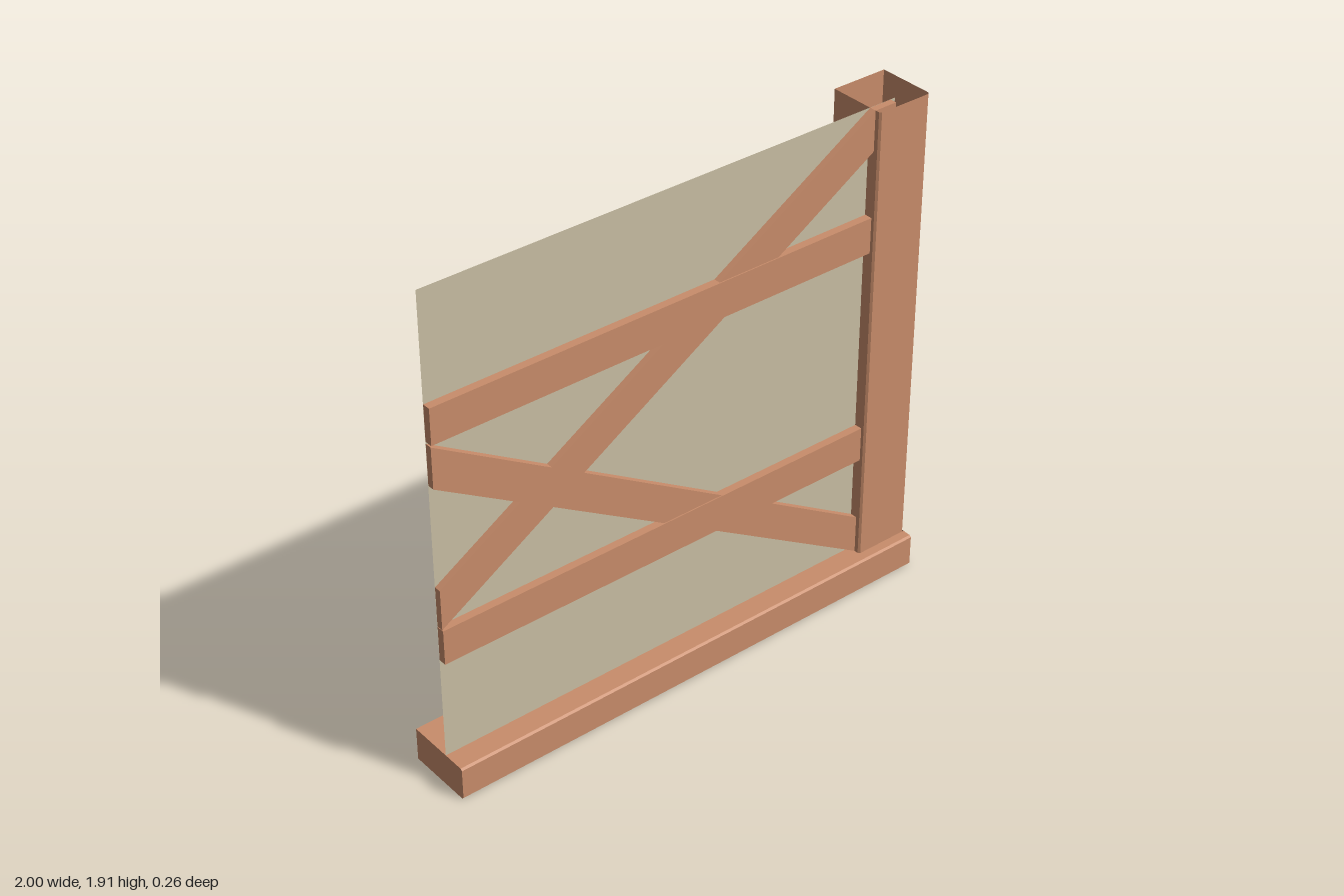
import * as THREE from 'three';

const wood = new THREE.MeshStandardMaterial({ color: 0xc98d6b, side: THREE.DoubleSide, flatShading: true });
const cloth = new THREE.MeshStandardMaterial({ color: 0xc9bfa4, side: THREE.DoubleSide, flatShading: true });

// Thin sheet folded along a profile of 2D points, running from a to b; place(p, t) gives the 3D point.
function foldedSheet(profile, a, b, place) {
  const pos = [];
  for (let i = 0; i + 1 < profile.length; i++) {
    const [p, q] = [profile[i], profile[i + 1]];
    const [p0, q0, q1, p1] = [place(p, a), place(q, a), place(q, b), place(p, b)];
    pos.push(...p0, ...q0, ...q1, ...p0, ...q1, ...p1);
  }
  const g = new THREE.BufferGeometry();
  g.setAttribute('position', new THREE.Float32BufferAttribute(pos, 3));
  g.computeVertexNormals();
  return g;
}

const toShape = (pts) => new THREE.Shape(pts.map(([x, y]) => new THREE.Vector2(x, y)));

export function createModel() {
  const root = new THREE.Group();
  const add = (parent, name, geometry, material = wood) => {
    const mesh = new THREE.Mesh(geometry, material);
    mesh.name = name;
    parent.add(mesh);
    return mesh;
  };

  const H = 1.91, baseH = 0.13, back = -0.13, baseFront = 0.13;
  const postFront = 0.09, postIn = 0.78, c = 0.007;

  // Hollow base beam, open at the back and under the post
  const base = new THREE.Group();
  base.name = 'baseBeam';
  root.add(base);
  const section = (topBack) => [
    [topBack, baseH], [baseFront - c, baseH], [baseFront, baseH - c],
    [baseFront, c], [baseFront - c, 0], [back, 0],
  ];
  const alongX = ([z, y], x) => [x, y, z];
  add(base, 'baseSkin', foldedSheet(section(back), -1, postIn, alongX));
  add(base, 'baseSkinUnderPost', foldedSheet(section(postFront), postIn, 1, alongX));
  for (const x of [-1, 1]) {
    const cap = new THREE.ShapeGeometry(toShape(section(back)));
    cap.rotateY(-Math.PI / 2); // profile z runs along world z
    add(base, 'baseEnd', cap).position.x = x;
  }

  // Hollow post, open at the top
  const post = [
    [postIn, back], [postIn, postFront - c], [postIn + c, postFront],
    [1 - c, postFront], [1, postFront - c], [1, back], [postIn, back],
  ];
  add(root, 'post', foldedSheet(post, baseH, H, ([x, z], y) => [x, y, z]));

  // Thin wall panel, tucked into the post
  const panel = add(root, 'wallPanel', new THREE.PlaneGeometry(1.89, H - baseH), cloth);
  panel.position.set(-0.055, (H + baseH) / 2, 0.04);

  // Horizontal rails
  const end = 0.87;
  for (const y of [0.6, 1.445]) {
    const rail = add(root, 'rail', new THREE.BoxGeometry(end + 1, 0.135, 0.03));
    rail.position.set((end - 1) / 2, y, 0.056);
  }

  // Crossing diagonal braces, mirrored about the middle height
  const rising = [[-1, 0.67], [end, 1.815], [end, H], [postIn, H], [-1, 0.825]];
  const falling = rising.map(([x, y]) => [x, H + baseH - y]).reverse();
  for (const pts of [rising, falling]) {
    const brace = add(root, 'diagonalBrace',
      new THREE.ExtrudeGeometry(toShape(pts), { depth: 0.026, bevelEnabled: false }));
    brace.position.z = 0.041;
  }

  return root;
}
